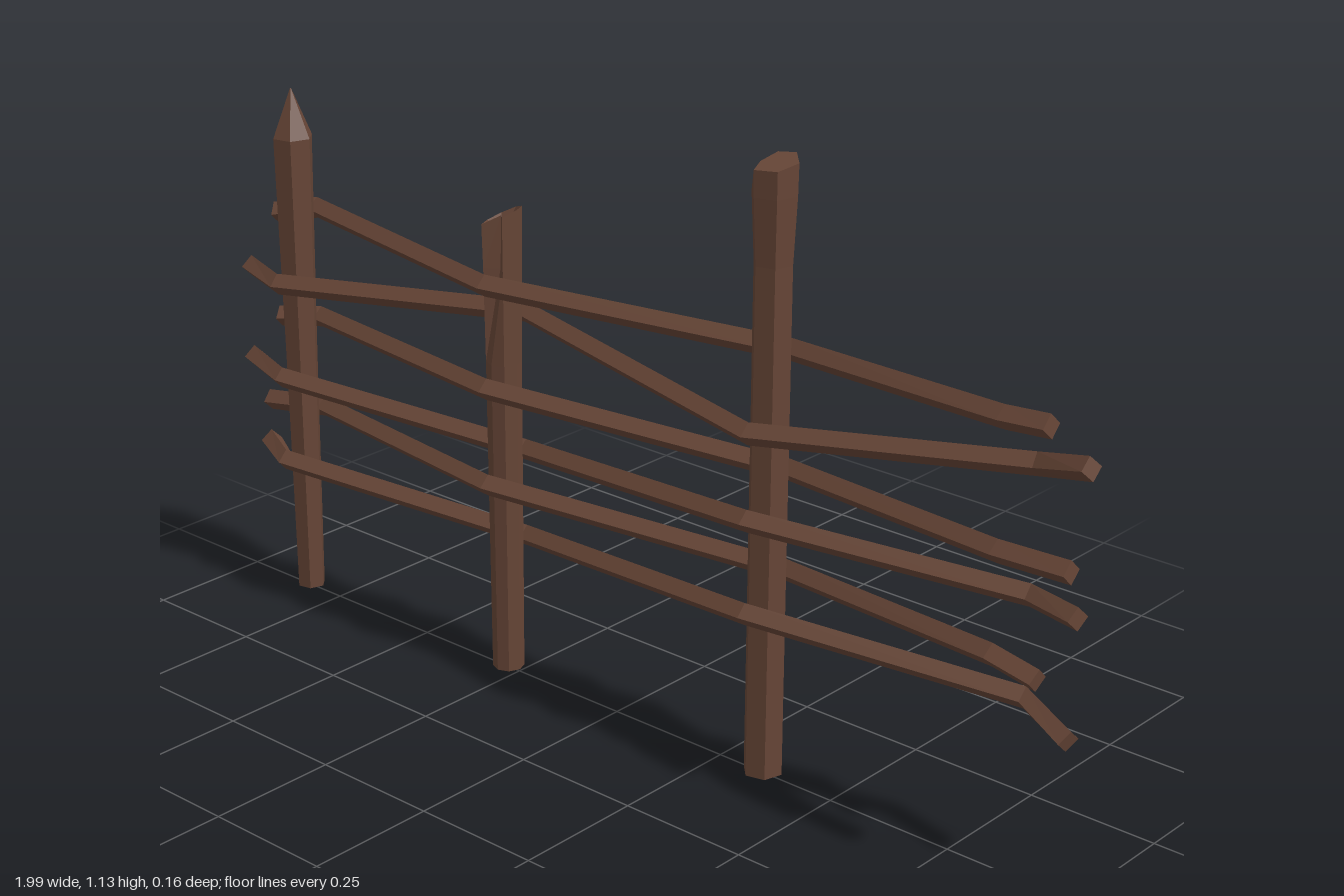
import * as THREE from 'three';

const bark = new THREE.MeshStandardMaterial({ color: 0x664536, flatShading: true });
bark.name = 'brown bark';

// Skin a list of equal-sized rings and close both ends with fans
function loft(rings, name, topDip = 0) {
  const pos = [];
  const tri = (...pts) => pts.forEach((p) => pos.push(p.x, p.y, p.z));
  const n = rings[0].length;
  const centre = (r) => r.reduce((s, p) => s.add(p), new THREE.Vector3()).divideScalar(n);
  const last = rings[rings.length - 1];
  const c0 = centre(rings[0]);
  const c1 = centre(last);
  c1.y -= topDip;
  for (let j = 0; j < n; j++) {
    const k = (j + 1) % n;
    for (let i = 0; i < rings.length - 1; i++) {
      const a = rings[i], b = rings[i + 1];
      tri(a[j], a[k], b[k]);
      tri(a[j], b[k], b[j]);
    }
    tri(c0, rings[0][k], rings[0][j]);
    tri(c1, last[j], last[k]);
  }
  const g = new THREE.BufferGeometry();
  g.setAttribute('position', new THREE.Float32BufferAttribute(pos, 3));
  g.computeVertexNormals();
  const mesh = new THREE.Mesh(g, bark);
  mesh.name = name;
  return mesh;
}

// Horizontal ring of a post; shape(dx, dz, j) may reshape each corner
function postRing(x, y, r, sides, turn, shape) {
  return Array.from({ length: sides }, (_, j) => {
    const a = turn + (j / sides) * Math.PI * 2;
    const p = new THREE.Vector3(Math.cos(a) * r, y, -Math.sin(a) * r);
    if (shape) shape(p, j);
    return p.add(new THREE.Vector3(x, 0, -0.006));
  });
}

// Square stick following a bent path
function rail(points, r, name) {
  const rings = points.map((p, i) => {
    const t = points[Math.min(i + 1, points.length - 1)].clone()
      .sub(points[Math.max(i - 1, 0)]).normalize();
    const u = new THREE.Vector3(0, 1, 0).addScaledVector(t, -t.y).normalize();
    const v = t.clone().cross(u);
    return [0, 1, 2, 3].map((j) => {
      const a = (j * Math.PI) / 2;
      return p.clone().addScaledVector(u, Math.cos(a) * r).addScaledVector(v, Math.sin(a) * r);
    });
  });
  return loft(rings, name);
}

export function createModel() {
  const group = new THREE.Group();
  group.name = 'wovenFence';

  // Pointed post
  group.add(loft([
    postRing(-0.84, 0, 0.028, 6, 0.2),
    postRing(-0.84, 0.5, 0.033, 6, 0.2),
    postRing(-0.84, 0.94, 0.04, 6, 0.2),
    postRing(-0.84, 1.035, 0.001, 6, 0.2),
  ], 'pointedPost'));

  // Split post: the front corner (index 6) sinks in toward the top
  const split = (depth, cut) => (p, j) => {
    if (j === 6) p.z -= depth;
    if (cut) p.y += p.x * 0.45 - p.z * 0.2;
  };
  group.add(loft([
    postRing(-0.284, 0, 0.03, 8, 0),
    postRing(-0.284, 0.62, 0.033, 8, 0),
    postRing(-0.284, 0.8, 0.035, 8, 0, split(0.03)),
    postRing(-0.284, 0.9, 0.037, 8, 0, split(0.036, true)),
  ], 'splitPost', 0.035));

  // Tall post, flared at the top with one corner hewn off
  group.add(loft([
    postRing(0.343, 0, 0.037, 6, 0.25),
    postRing(0.343, 0.95, 0.036, 6, 0.25),
    postRing(0.343, 1.07, 0.042, 6, 0.25),
    postRing(0.343, 1.125, 0.043, 6, 0.25, (p) => {
      if (p.x < -0.015) p.x = -0.015 + (p.x + 0.015) * 0.3;
      p.y -= p.z * 0.2;
    }),
  ], 'tallPost'));

  // Rails, top to bottom: left end x, right end x, then heights along the path
  const rails = [
    [-0.925, 0.94, 0.765, 0.785, 0.78, 0.78, 0.825, 0.835],
    [-0.965, 0.97, 0.655, 0.655, 0.705, 0.66, 0.715, 0.75],
    [-0.925, 0.992, 0.55, 0.56, 0.58, 0.56, 0.597, 0.605],
    [-0.97, 0.963, 0.465, 0.462, 0.43, 0.5, 0.485, 0.49],
    [-0.992, 0.942, 0.348, 0.37, 0.39, 0.37, 0.415, 0.402],
    [-0.93, 0.96, 0.295, 0.288, 0.255, 0.325, 0.3, 0.27],
  ];
  // Alternate rails weave behind or in front of the first post
  const behind = [-0.03, -0.062, 0.045, -0.065, 0.045, 0.052];
  const before = [0.005, 0.048, -0.058, 0.048, -0.056, -0.022];
  rails.forEach(([x0, x1, ...ys], i) => {
    const zs = i % 2 ? before : behind;
    const xs = [x0, -0.84, -0.28, 0.34, 0.85, x1];
    const pts = xs.map((x, k) => new THREE.Vector3(x, ys[k], zs[k]));
    if (i === 4) pts[0].z = -0.052;
    group.add(rail(pts, 0.021, 'rail' + (i + 1)));
  });

  return group;
}
